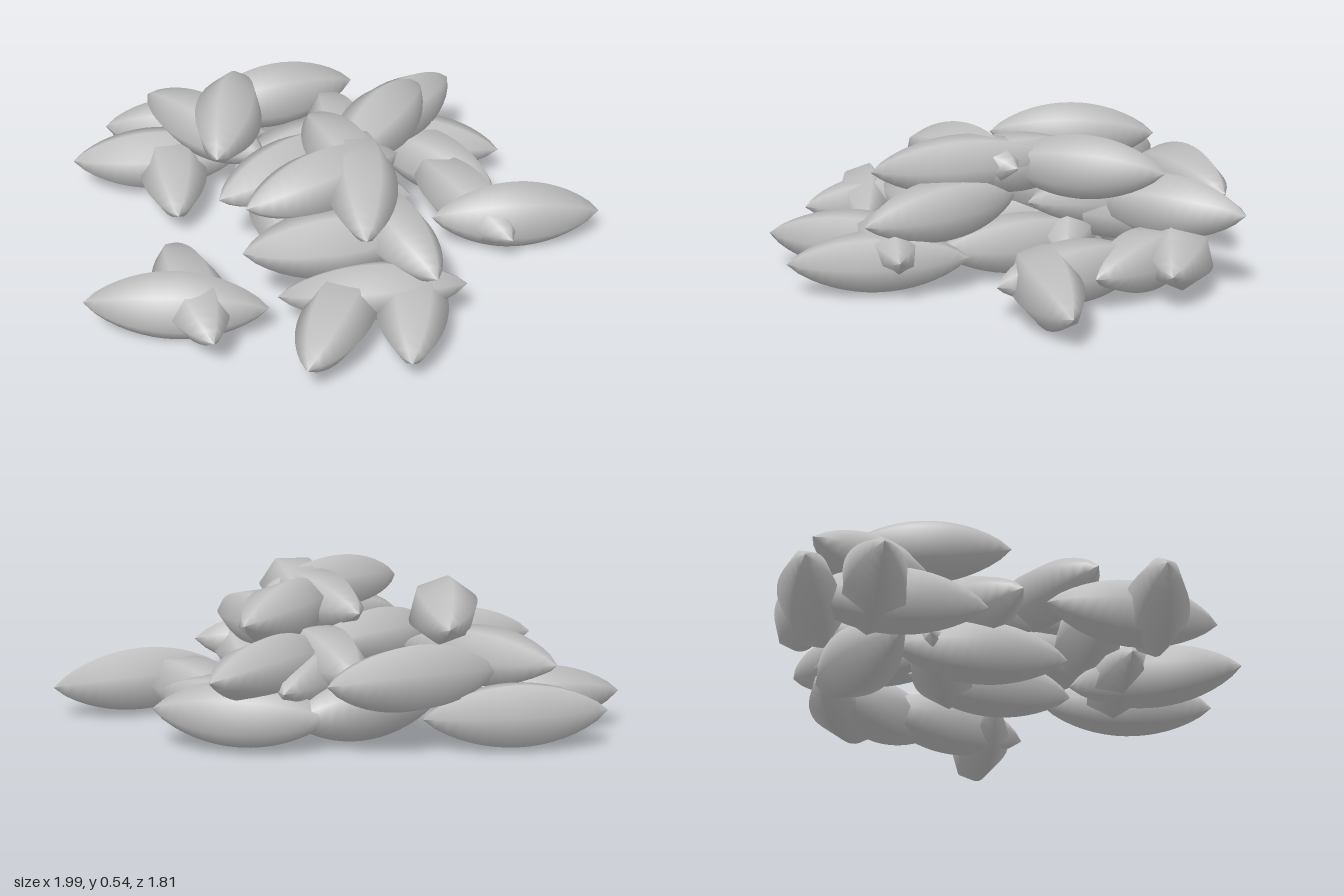
import * as THREE from 'three';

// Each seed: tip A (x, y, z), tip B (x, y, z), roll in degrees
const groundSeeds = [
  [-0.70, 0.14, -0.88, -0.08, 0.12, -0.69, 65],
  [-0.87, 0.14, -0.66, -0.22, 0.13, -0.55, 35],
  [-0.55, 0.12, -0.20, -0.45, 0.12, -0.84, 0],
  [-0.28, 0.13, -0.43, 0.36, 0.13, -0.57, 40],
  [0.76, 0.14, -0.27, 0.22, 0.13, -0.60, 20],
  [0.65, 0.13, -0.03, 0.32, 0.13, -0.56, 0],
  [0.60, 0.13, 0.32, 0.44, 0.13, -0.33, 0],
  [0.35, 0.15, 0.12, 0.99, 0.12, 0.21, 75],
  [-1.00, 0.15, 0.27, -0.37, 0.13, 0.46, 75],
  [-0.63, 0.13, -0.02, -0.61, 0.15, 0.63, 0],
  [-0.34, 0.14, 0.85, 0.03, 0.13, 0.31, 0],
  [0.02, 0.12, 0.89, 0.22, 0.13, 0.27, 0],
  [0.33, 0.17, 0.57, -0.33, 0.14, 0.42, 30],
  [-0.13, 0.13, -0.43, -0.20, 0.13, 0.22, 0],
  [0.10, 0.13, -0.30, 0.12, 0.13, 0.35, 0],
  [-0.26, 0.14, -0.32, 0.33, 0.14, -0.06, 30],
];
const middleSeeds = [
  [0.29, 0.28, -0.73, -0.36, 0.27, -0.69, -75],
  [-0.53, 0.30, -0.82, -0.20, 0.28, -0.26, 0],
  [-0.43, 0.28, -0.03, 0.17, 0.30, -0.27, 25],
  [0.66, 0.30, -0.61, 0.11, 0.28, -0.25, -25],
  [0.15, 0.28, -0.66, 0.12, 0.28, 0.00, 0],
  [0.39, 0.23, -0.59, -0.02, 0.25, -0.08, 0],
  [-0.43, 0.28, 0.32, 0.22, 0.28, 0.36, 45],
  [0.19, 0.27, 0.65, 0.06, 0.31, 0.02, 0],
];
const topSeeds = [
  [-0.19, 0.42, -0.67, -0.42, 0.43, -0.07, -20],
  [0.46, 0.43, -0.39, 0.00, 0.42, 0.06, -20],
  [-0.01, 0.42, -0.30, 0.09, 0.42, 0.35, 0],
  [0.12, 0.45, -0.10, -0.04, 0.41, 0.55, 0],
  [-0.40, 0.43, 0.27, 0.22, 0.44, 0.08, 20],
];

// Pointed lens profile, one unit long, with a slightly flattened six-sided section
function seedGeometry() {
  const steps = 16, points = [];
  for (let i = 0; i <= steps; i++) {
    const t = (i / steps) * 2 - 1;
    points.push(new THREE.Vector2(0.13 * Math.pow(1 - t * t, 0.82), t / 2));
  }
  return new THREE.LatheGeometry(points, 6).scale(0.86, 1, 1);
}

export function createModel() {
  const model = new THREE.Group();
  model.name = 'seedPile';
  const grey = new THREE.MeshStandardMaterial({ color: 0xc0c0c0 });
  grey.name = 'grey';
  const geometry = seedGeometry();
  const up = new THREE.Vector3(0, 1, 0);

  function addLayer(name, seeds) {
    const layer = new THREE.Group();
    layer.name = name;
    for (const [ax, ay, az, bx, by, bz, roll] of seeds) {
      const a = new THREE.Vector3(ax, ay, az), b = new THREE.Vector3(bx, by, bz);
      const axis = b.clone().sub(a);
      const length = axis.length();
      axis.normalize();
      // Level the cross-section, then roll the seed about its length
      const side = new THREE.Vector3().crossVectors(up, axis).normalize();
      const top = new THREE.Vector3().crossVectors(axis, side);
      const mesh = new THREE.Mesh(geometry, grey);
      mesh.name = 'seed';
      mesh.quaternion.setFromRotationMatrix(new THREE.Matrix4().makeBasis(top, axis, side));
      mesh.rotateY(THREE.MathUtils.degToRad(roll));
      mesh.scale.set(1, length, 1);
      mesh.position.copy(a).add(b).multiplyScalar(0.5);
      layer.add(mesh);
    }
    model.add(layer);
  }

  addLayer('groundLayer', groundSeeds);
  addLayer('middleLayer', middleSeeds);
  addLayer('topLayer', topSeeds);
  return model;
}
